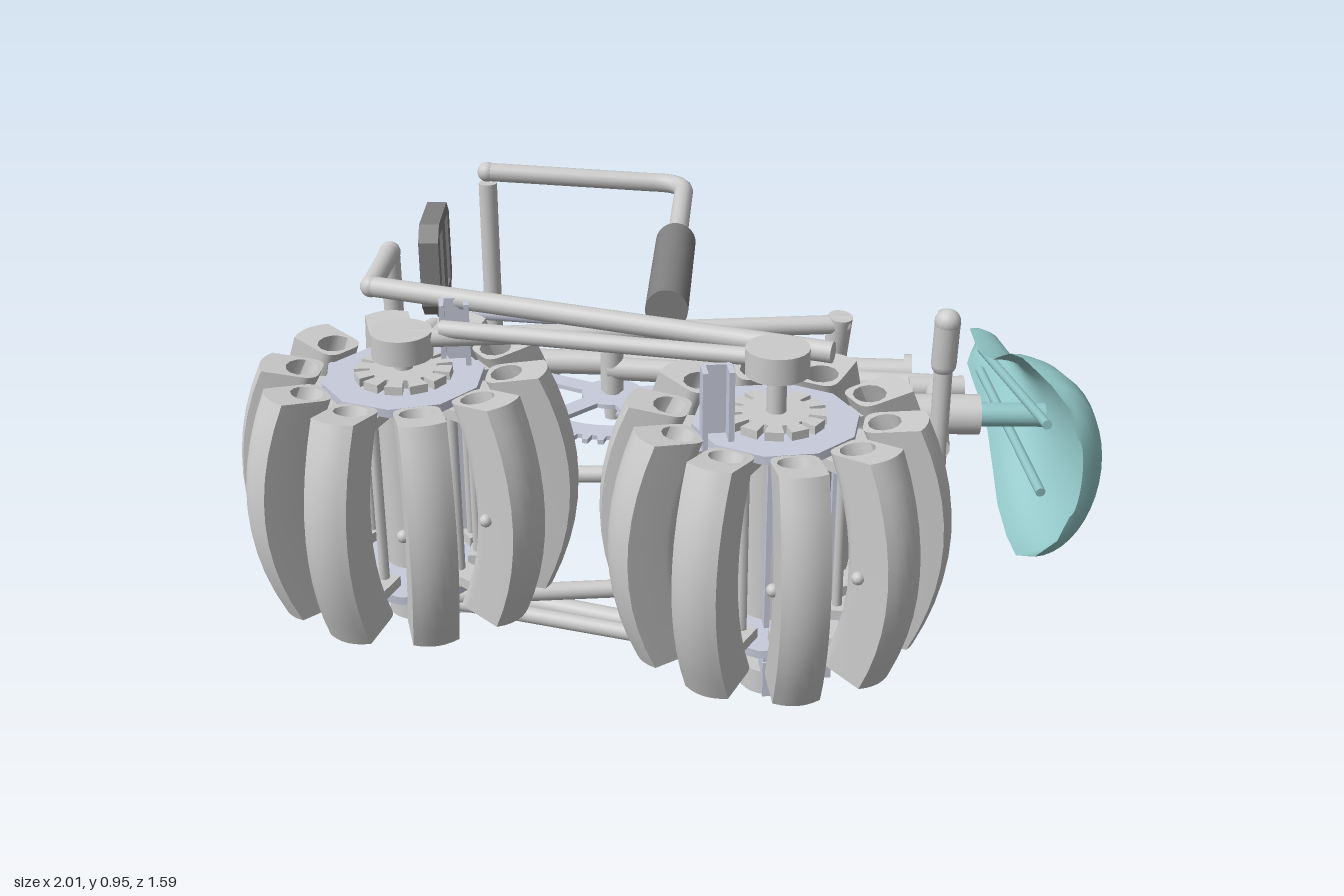
import * as THREE from 'three';
import { toCreasedNormals } from 'three/addons/utils/BufferGeometryUtils.js';

const mat = (color, side = THREE.FrontSide) => new THREE.MeshStandardMaterial({ color, side });
const grey = mat(0xcccccc), steel = mat(0xc8cbdc), dark = mat(0x808080);
const teal = mat(0x92c6c7, THREE.DoubleSide);
const MID = 0.48; // height of the plane of symmetry
const V = (x, y, z) => new THREE.Vector3(x, y, z);

function add(parent, name, geo, material, x = 0, y = 0, z = 0) {
  const m = new THREE.Mesh(geo, material);
  m.name = name;
  m.position.set(x, y, z);
  parent.add(m);
  return m;
}

// Straight round bar between two points
function bar(parent, name, a, b, r, material = grey, sides = 20) {
  const p = V(...a), q = V(...b), d = q.clone().sub(p);
  const m = add(parent, name, new THREE.CylinderGeometry(r, r, d.length(), sides), material);
  m.position.copy(p).add(q).multiplyScalar(0.5);
  m.quaternion.setFromUnitVectors(V(0, 1, 0), d.normalize());
  return m;
}

const ball = (parent, name, [x, y, z], r) => add(parent, name, new THREE.SphereGeometry(r, 16, 12), grey, x, y, z);

// Runs a builder for the upper and lower copy of a part; y(h) mirrors a height
function bothSides(fn) {
  fn((h) => h);
  fn((h) => 2 * MID - h);
}

// Flat toothed ring, lying in the xz plane; gap is the share between teeth
function gear(rOut, rRoot, teeth, gap, slope, holes, depth) {
  const pts = [];
  for (let i = 0; i < teeth; i++) {
    [[0, rRoot], [gap, rRoot], [gap + slope, rOut], [1 - slope, rOut]].forEach(([f, r]) => {
      const a = ((i + f) / teeth) * Math.PI * 2;
      pts.push(new THREE.Vector2(Math.cos(a) * r, Math.sin(a) * r));
    });
  }
  const s = new THREE.Shape(pts);
  s.holes.push(...holes);
  const g = new THREE.ExtrudeGeometry(s, { depth, bevelEnabled: false, curveSegments: 12 });
  return g.translate(0, 0, -depth / 2).rotateX(-Math.PI / 2);
}

// Hollow tyre segment, bowed outwards at mid height
function tyreSegment() {
  const w = 0.052, s = new THREE.Shape();
  s.moveTo(0.38, -w);
  s.quadraticCurveTo(0.408, 0, 0.38, w);
  s.lineTo(0.29, w);
  s.quadraticCurveTo(0.255, w, 0.255, 0.02);
  s.lineTo(0.255, -0.02);
  s.quadraticCurveTo(0.255, -w, 0.29, -w);
  s.closePath();
  s.holes.push(new THREE.Path().absellipse(0.3, 0, 0.036, 0.041, 0, Math.PI * 2, true));
  const g = new THREE.ExtrudeGeometry(s, { depth: 0.55, steps: 10, bevelEnabled: false, curveSegments: 6 });
  g.translate(0, 0, -0.275).rotateX(-Math.PI / 2);
  const p = g.attributes.position;
  for (let i = 0; i < p.count; i++) {
    const r = p.getX(i), y = p.getY(i);
    p.setXYZ(i, r - 0.065 * (y / 0.275) ** 2, y * (1 + 0.5 * (r - 0.39)), p.getZ(i));
  }
  return toCreasedNormals(g, 0.6);
}

// Folded wheel: ten segments around a hub with a vertical axle
function wheel(name, x, z, offset, capY, channels) {
  const g = new THREE.Group();
  g.name = name;
  g.position.set(x, 0, z);
  const seg = tyreSegment(), link = new THREE.BoxGeometry(0.09, 0.025, 0.06);
  const cog = gear(0.112, 0.075, 12, 0.25, 0.02, [], 0.02);
  for (let i = 0; i < 10; i++) {
    const arm = new THREE.Group();
    arm.name = 'wheelSegment';
    arm.rotation.y = -(offset + i * 36) * Math.PI / 180;
    add(arm, 'tyreSegment', seg, grey, 0, MID);
    bar(arm, 'hubRod', [0.15, 0.24, 0], [0.15, 0.72, 0], 0.012, grey, 8);
    bothSides((y) => add(arm, 'segmentLink', link, grey, 0.175, y(0.695)));
    add(arm, 'segmentPin', new THREE.SphereGeometry(0.015, 10, 8), grey, 0.3, MID, 0.055);
    g.add(arm);
  }
  bar(g, 'axle', [0, 2 * MID - capY, 0], [0, capY, 0], 0.022);
  bar(g, 'hubCore', [0, 0.26, 0], [0, 0.7, 0], 0.07);
  bothSides((y) => {
    const disc = add(g, 'hubDisc', new THREE.CylinderGeometry(0.185, 0.185, 0.02, 10).toNonIndexed(), steel, 0, y(0.72));
    disc.rotation.y = -offset * Math.PI / 180;
    add(g, 'hubCog', cog, grey, 0, y(0.74));
    add(g, 'axleCap', new THREE.CylinderGeometry(0.07, 0.07, 0.06, 24), grey, 0, y(capY));
  });
  // Upright channels with a bolt at the foot
  channels.forEach(([cx, cz, y0, y1]) => {
    const h = y1 - y0, c = new THREE.Group();
    c.name = 'channel';
    c.position.set(cx - x, (y0 + y1) / 2, cz - z);
    add(c, 'channelWeb', new THREE.BoxGeometry(0.06, h, 0.01), steel, 0, 0, -0.025);
    [-1, 1].forEach((k) => add(c, 'channelFlange', new THREE.BoxGeometry(0.012, h, 0.05), steel, k * 0.028));
    add(c, 'channelFoot', new THREE.BoxGeometry(0.07, 0.09, 0.06), steel, 0, 0.045 - h / 2);
    bar(c, 'channelBolt', [0, 0.045 - h / 2, 0], [0, 0.045 - h / 2, 0.04], 0.018, steel, 12);
    g.add(c);
  });
  return g;
}

// Saddle shell lofted from arched sections: z, half width, crest x, edge drop
function saddle() {
  const sections = [[-0.54, 0.008, 0.905, 0.01], [-0.53, 0.035, 0.93, 0.05], [-0.49, 0.05, 0.945, 0.085],
    [-0.4, 0.052, 0.95, 0.1], [-0.28, 0.068, 0.953, 0.11], [-0.18, 0.1, 0.957, 0.12], [-0.08, 0.155, 0.963, 0.135],
    [0.02, 0.205, 0.972, 0.155], [0.12, 0.238, 0.985, 0.17], [0.2, 0.248, 0.997, 0.18], [0.25, 0.225, 0.987, 0.14],
    [0.275, 0.17, 0.96, 0.07], [0.285, 0.1, 0.93, 0.02]];
  const n = 20, pos = [], idx = [];
  sections.forEach(([z, w, crest, drop], j) => {
    for (let i = 0; i <= n; i++) {
      const a = (i / n - 0.5) * Math.PI;
      pos.push(crest - drop * (1 - Math.cos(a)), MID + w * Math.sin(a), z);
      if (j && i) {
        const q = j * (n + 1) + i, p = q - n - 1;
        idx.push(p - 1, q - 1, p, p, q - 1, q);
      }
    }
  });
  const g = new THREE.BufferGeometry();
  g.setAttribute('position', new THREE.Float32BufferAttribute(pos, 3));
  g.setIndex(idx);
  g.computeVertexNormals();
  return g;
}

// Chamfered pedal frame with two slots, thin along x
function pedalGeometry() {
  const s = new THREE.Shape(), e = 0.122, k = 0.085;
  [[-e, -k], [-k, -e], [k, -e], [e, -k], [e, k], [k, e], [-k, e], [-e, k]]
    .forEach(([x, y], i) => (i ? s.lineTo(x, y) : s.moveTo(x, y)));
  [-0.057, 0.057].forEach((c) => s.holes.push(new THREE.Path([[-0.029, -0.09], [-0.029, 0.09], [0.029, 0.09], [0.029, -0.09]]
    .map(([x, y]) => new THREE.Vector2(c + x, y)))));
  return new THREE.ExtrudeGeometry(s, { depth: 0.05, bevelEnabled: false }).translate(0, 0, -0.025).rotateY(Math.PI / 2);
}

export function createModel() {
  const g = new THREE.Group();
  g.name = 'foldedBicycle';

  g.add(wheel('rearWheel', -0.62, 0.08, 10, 0.81, [[-0.76, 0.02, 0.07, 0.73], [-0.5, 0.02, 0.07, 0.88]]));
  g.add(wheel('frontWheel', 0.185, 0.4, 17, 0.87, [[0.19, 0.46, 0.07, 0.73], [0.29, 0.4, 0.07, 0.73], [0.045, 0.475, 0.25, 0.89]]));

  // Fork and chain stays, one above and one below the wheels
  bothSides((y) => {
    const f = y(0.87), c = y(0.82);
    bar(g, 'forkBlade', [-0.69, f, -0.12], [0.31, f, 0.375], 0.024);
    bar(g, 'forkBrace', [-0.53, y(0.84), 0.08], [0.18, y(0.86), 0.37], 0.02);
    bar(g, 'forkShoulder', [-0.65, f, -0.34], [-0.69, f, -0.12], 0.024);
    [[-0.69, -0.12], [-0.65, -0.34]].forEach(([x, z]) => ball(g, 'forkJoint', [x, f, z], 0.026));
    bar(g, 'chainStay', [-0.6, c, 0.08], [0.4, c, 0.11], 0.022);
    bar(g, 'seatStayEnd', [0.635, y(0.81), 0.1], [0.635, y(0.7), 0.09], 0.03);
    ball(g, 'seatStayTip', [0.635, y(0.81), 0.1], 0.031);
    ball(g, 'seatStayNeck', [0.635, y(0.7), 0.09], 0.03);
    bar(g, 'stayEnd', [0.38, y(0.84), 0.11], [0.37, y(0.7), 0.09], 0.028);
  });
  bar(g, 'forkCrown', [-0.65, 0.09, -0.34], [-0.65, 0.87, -0.34], 0.024);
  bar(g, 'steerer', [-0.645, MID, -0.34], [-0.6, MID, -0.73], 0.028);
  bar(g, 'seatStay', [0.635, 0.13, 0.09], [0.635, 0.83, 0.09], 0.022);
  bar(g, 'rearStay', [0.37, 0.13, 0.09], [0.37, 0.83, 0.09], 0.02);
  bar(g, 'seatStayLink', [0.635, MID, 0.1], [0.71, MID, -0.24], 0.026);
  bar(g, 'rearStayLink', [0.375, MID, 0.09], [0.39, MID, -0.28], 0.024);

  // Main frame
  bar(g, 'mainTube', [-0.6, MID, -0.58], [0.67, MID, -0.345], 0.032);
  bar(g, 'mainTubeFlange', [0.65, MID, -0.35], [0.67, MID, -0.345], 0.045);
  bar(g, 'downTube', [-0.11, MID, -0.455], [0.72, MID, -0.25], 0.03);
  bar(g, 'frameHinge', [0.64, MID, -0.245], [0.78, MID, -0.235], 0.03);
  bar(g, 'seatTube', [0.31, MID, -0.14], [0.78, MID, -0.075], 0.05);
  bar(g, 'seatPost', [0.7, MID, -0.086], [0.94, MID, -0.055], 0.03, teal);
  add(g, 'saddle', saddle(), teal);
  [-1, 1].forEach((k) => bar(g, 'saddleRail', [0.87, MID + k * 0.03, -0.4], [0.87, MID + k * 0.09, 0.18], 0.012, teal, 10));

  // Stem and handlebar
  bar(g, 'stem', [-0.56, MID, -0.775], [-0.4, MID, -0.745], 0.026);
  bar(g, 'stemElbow', [-0.6, MID, -0.72], [-0.56, MID, -0.78], 0.028);
  bar(g, 'handlebarRiser', [-0.4, 0.06, -0.745], [-0.4, 0.9, -0.745], 0.024);
  bothSides((y) => {
    const path = new THREE.CurvePath();
    const a = V(-0.4, y(0.93), -0.745), b = V(0.03, y(0.91), -0.67), c = V(0.1, y(0.91), -0.58), d = V(0.04, y(0.91), -0.22);
    path.add(new THREE.LineCurve3(a, b));
    path.add(new THREE.QuadraticBezierCurve3(b, V(0.115, y(0.91), -0.655), c));
    path.add(new THREE.LineCurve3(c, d));
    add(g, 'handlebar', new THREE.TubeGeometry(path, 40, 0.024, 14), grey);
    ball(g, 'handlebarJoint', a.toArray(), 0.026);
    bar(g, 'grip', [0.04, y(0.905), -0.24], [-0.03, y(0.905), 0.185], 0.048, dark, 24);
  });

  // Chainring with five windows, cranks and pedals
  const windows = [0, 1, 2, 3, 4].map((i) => {
    const a = i * Math.PI * 0.4 + 0.15, p = new THREE.Path();
    p.absarc(0, 0, 0.2, a, a + 1, false);
    p.absarc(0, 0, 0.08, a + 0.8, a + 0.2, true);
    p.closePath();
    return p;
  });
  add(g, 'chainring', gear(0.285, 0.26, 44, 0.35, 0.15, windows, 0.012), steel, -0.102, 0.405, -0.455);
  bar(g, 'crankSpindle', [-0.102, 0.34, -0.455], [-0.102, 0.625, -0.455], 0.021);
  bar(g, 'bottomBracket', [-0.102, 0.42, -0.455], [-0.102, 0.54, -0.455], 0.03);
  const pedal = pedalGeometry();
  [[-0.545, -0.58, 0.612, 0.758], [0.35, -0.32, 0.352, 0.2]].forEach(([x, z, crankY, pedalY]) => {
    bar(g, 'crankArm', [-0.102, crankY, -0.455], [x, crankY, z], 0.018, steel, 12);
    bar(g, 'pedalAxle', [x, crankY, z], [x, pedalY, z], 0.014, grey, 12);
    add(g, 'pedal', pedal, dark, x, pedalY, z).rotation.y = -0.12;
  });
  return g;
}
